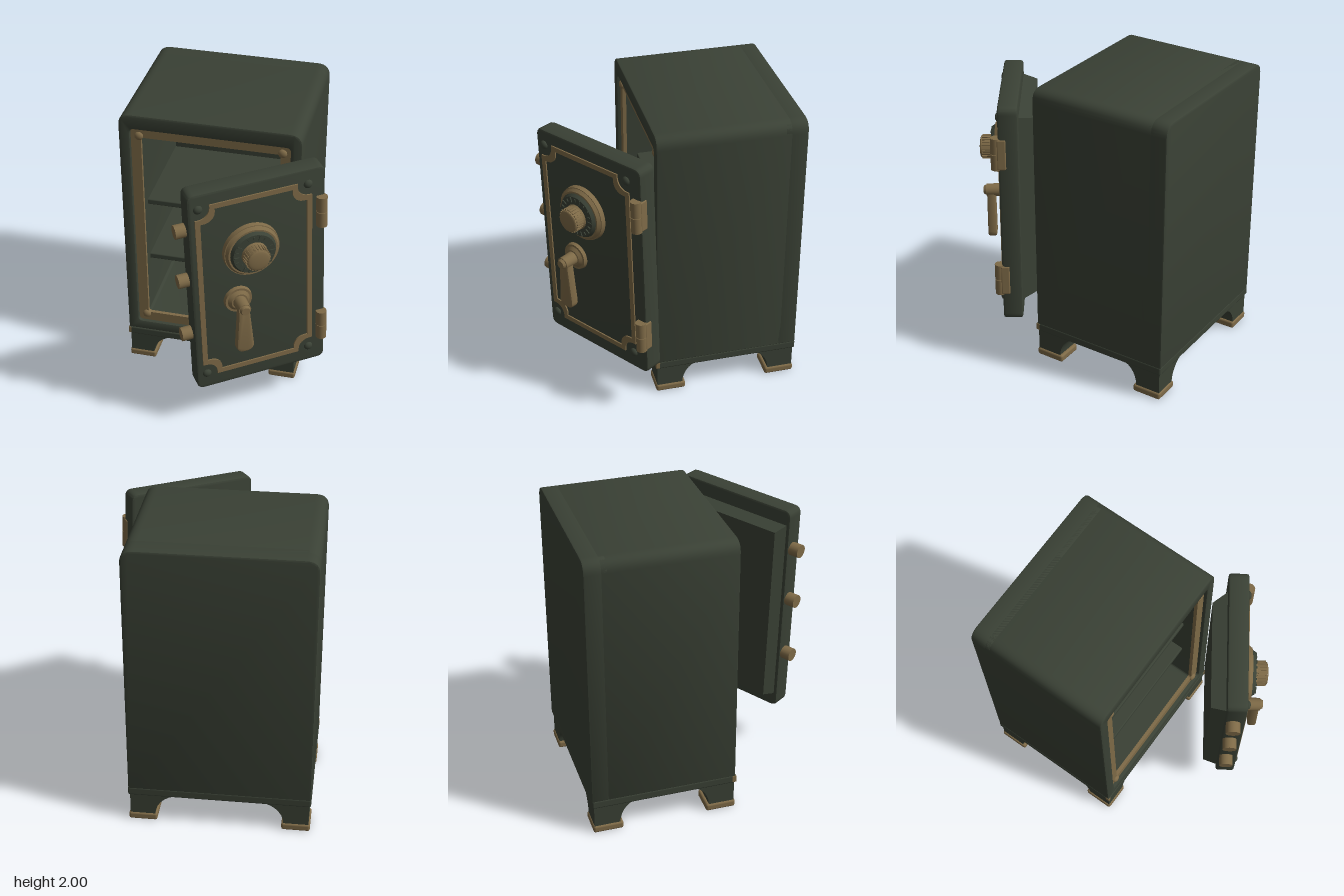
import * as THREE from 'three';
import { toCreasedNormals } from 'three/addons/utils/BufferGeometryUtils.js';
import { RoundedBoxGeometry } from 'three/addons/geometries/RoundedBoxGeometry.js';

const paint = new THREE.MeshStandardMaterial({ color: 0x3a4135 });
paint.name = 'dark green paint';
const brass = new THREE.MeshStandardMaterial({ color: 0x7e6a47 });
brass.name = 'aged brass';

function add(parent, name, geo, mat, x = 0, y = 0, z = 0) {
  const m = new THREE.Mesh(geo, mat);
  m.name = name;
  m.position.set(x, y, z);
  parent.add(m);
  return m;
}

const box = (w, h, d, r = 0.015) => new RoundedBoxGeometry(w, h, d, 2, r);

// Rectangle with separate bottom and top corner radii
function rect(x0, x1, y0, y1, rb, rt, Type = THREE.Shape) {
  const s = new Type();
  s.moveTo(x0 + rb, y0).lineTo(x1 - rb, y0);
  s.quadraticCurveTo(x1, y0, x1, y0 + rb).lineTo(x1, y1 - rt);
  s.quadraticCurveTo(x1, y1, x1 - rt, y1).lineTo(x0 + rt, y1);
  s.quadraticCurveTo(x0, y1, x0, y1 - rt).lineTo(x0, y0 + rb);
  s.quadraticCurveTo(x0, y0, x0 + rb, y0);
  return s;
}

// Extrusion filling z0..z1, bevel included and kept inside the outline
function extrude(shape, z0, z1, bevel = 0) {
  const g = new THREE.ExtrudeGeometry(shape, {
    depth: z1 - z0 - 2 * bevel, bevelEnabled: bevel > 0, bevelThickness: bevel,
    bevelSize: bevel, bevelOffset: -bevel, bevelSegments: 2, curveSegments: 8,
  });
  g.translate(0, 0, z0 + bevel);
  return toCreasedNormals(g, 0.6);
}

// Solid through rectangular sections [y, x0, x1, z0, z1], listed upwards
function loft(sections) {
  const pos = [], idx = [];
  for (const [y, x0, x1, z0, z1] of sections) pos.push(x0, y, z0, x1, y, z0, x1, y, z1, x0, y, z1);
  for (let k = 0; k < sections.length - 1; k++) {
    for (let i = 0; i < 4; i++) {
      const a = k * 4 + i, b = k * 4 + (i + 1) % 4;
      idx.push(a, a + 4, b, b, a + 4, b + 4);
    }
  }
  const t = (sections.length - 1) * 4;
  idx.push(0, 1, 2, 0, 2, 3, t, t + 2, t + 1, t, t + 3, t + 2);
  const g = new THREE.BufferGeometry();
  g.setAttribute('position', new THREE.Float32BufferAttribute(pos, 3));
  g.setIndex(idx);
  return toCreasedNormals(g, 0.5);
}

// Disc facing +z from z0 to z1
function disc(r0, r1, z0, z1, sides = 40) {
  return new THREE.CylinderGeometry(r1, r0, z1 - z0, sides).rotateX(Math.PI / 2).translate(0, 0, (z0 + z1) / 2);
}

const dome = (r, h) => new THREE.SphereGeometry(r, 16, 6, 0, Math.PI * 2, 0, Math.PI / 2)
  .rotateX(Math.PI / 2).scale(1, 1, h / r);

// Rectangle whose corners are cut by concave, stepped scallops
function scalloped(hw, hh, r, step, Type) {
  const s = new Type();
  const corners = [[1, 1], [-1, 1], [-1, -1], [1, -1]];
  corners.forEach(([sx, sy], k) => {
    const pts = [[0, r + step]];
    for (let i = 0; i <= 6; i++) {
      const a = (i / 6) * Math.PI / 2;
      pts.push([step + Math.sin(a) * r, step + Math.cos(a) * r]);
    }
    pts.push([r + step, 0]);
    if (k % 2) pts.reverse();
    pts.forEach(([dx, dy], i) => {
      const x = sx * (hw - dx), y = sy * (hh - dy);
      if (k === 0 && i === 0) s.moveTo(x, y); else s.lineTo(x, y);
    });
  });
  s.closePath();
  return s;
}

function buildCabinet(root) {
  const g = new THREE.Group();
  g.name = 'cabinet';
  root.add(g);
  const outline = () => rect(-0.71, 0.5, 0.25, 2, 0.01, 0.085);

  // Shell, back wall and inner lining
  const shell = outline();
  shell.holes.push(rect(-0.635, 0.425, 0.325, 1.895, 0.03, 0.03, THREE.Path));
  add(g, 'shell', extrude(shell, -0.72, 0.17, 0.012), paint);
  add(g, 'backWall', extrude(outline(), -0.82, -0.66, 0.012), paint);
  const ring = () => {
    const s = rect(-0.64, 0.43, 0.32, 1.9, 0.03, 0.03);
    s.holes.push(rect(-0.567, 0.357, 0.395, 1.828, 0.02, 0.02, THREE.Path));
    return s;
  };
  add(g, 'lining', extrude(ring(), -0.68, 0.12), paint);
  add(g, 'openingFrame', extrude(ring(), 0.12, 0.145), brass);
  for (const x of [-0.58, 0.37]) for (const y of [0.38, 1.84]) {
    add(g, 'frameRivet', dome(0.03, 0.02), brass, x, y, 0.145);
  }
  for (const y of [0.82, 1.27]) add(g, 'shelf', box(0.94, 0.04, 0.72, 0.008), paint, -0.105, y, -0.31);

  // Plinth with worn corners
  add(g, 'plinth', box(1.215, 0.06, 0.995, 0.012), paint, -0.105, 0.23, -0.322);
  for (const sx of [-1, 1]) {
    add(g, 'plinthWear', box(0.022, 0.05, 0.03, 0.004), brass, -0.105 + sx * 0.597, 0.23, 0.161);
  }

  // Four bracket feet with brass pads
  for (const sx of [-1, 1]) for (const sz of [-1, 1]) {
    const X = -0.105 + sx * 0.595, Z = -0.322 + sz * 0.485;
    const sections = [];
    for (let i = 0; i <= 7; i++) {
      const a = (i / 7) * Math.PI / 2, f = 1 - Math.cos(a);
      const x = X - sx * (0.165 + 0.165 * f), z = Z - sz * (0.175 + 0.12 * f);
      sections.push([0.04 + 0.165 * Math.sin(a), Math.min(X, x), Math.max(X, x), Math.min(Z, z), Math.max(Z, z)]);
    }
    add(g, 'foot', loft(sections), paint);
    add(g, 'footPad', box(0.19, 0.052, 0.205), brass, -0.105 + sx * 0.51, 0.026, -0.322 + sz * 0.391);
  }
}

function buildDial(door) {
  const g = new THREE.Group();
  g.name = 'combinationDial';
  g.position.set(-0.055, 0.287, 0);
  door.add(g);
  add(g, 'dialFlange', disc(0.19, 0.185, 0.06, 0.095), brass);
  add(g, 'dialRim', disc(0.18, 0.165, 0.095, 0.115), brass);
  add(g, 'dialFace', disc(0.157, 0.14, 0.11, 0.137), paint);
  for (let i = 0; i < 20; i++) {
    const a = (i / 20) * Math.PI * 2, long = i % 2 ? 0.02 : 0.035;
    const t = add(g, 'dialTick', new THREE.BoxGeometry(long, 0.008, 0.008), paint,
      Math.cos(a) * 0.12, Math.sin(a) * 0.12, 0.14);
    t.rotation.z = a;
  }
  // Knurled knob
  add(g, 'knobCollar', disc(0.09, 0.08, 0.13, 0.15), brass);
  add(g, 'knob', disc(0.08, 0.074, 0.15, 0.212), brass);
  add(g, 'knobCap', dome(0.074, 0.012), brass, 0, 0, 0.212);
  for (let i = 0; i < 24; i++) {
    const a = (i / 24) * Math.PI * 2;
    const rib = add(g, 'knobRib', new THREE.BoxGeometry(0.012, 0.01, 0.055), brass,
      Math.cos(a) * 0.077, Math.sin(a) * 0.077, 0.178);
    rib.rotation.z = a;
  }
}

function buildHandle(door) {
  const g = new THREE.Group();
  g.name = 'handle';
  g.position.set(-0.153, -0.085, 0);
  door.add(g);
  add(g, 'handleRose', disc(0.097, 0.09, 0.06, 0.088), brass);
  add(g, 'handleRoseStep', disc(0.075, 0.055, 0.088, 0.105), brass);
  add(g, 'handleSpindle', disc(0.045, 0.042, 0.1, 0.2, 24), brass);
  add(g, 'handleCap', disc(0.036, 0.028, 0.2, 0.218, 24), brass);
  const s = new THREE.Shape();
  s.moveTo(-0.035, 0.01).lineTo(-0.06, -0.3).quadraticCurveTo(-0.06, -0.35, 0, -0.35);
  s.quadraticCurveTo(0.06, -0.35, 0.06, -0.3).lineTo(0.035, 0.01);
  s.quadraticCurveTo(0, 0.05, -0.035, 0.01);
  add(g, 'handleLever', extrude(s, 0.135, 0.195, 0.014), brass);
}

function buildDoor(root) {
  // Swung open and sagging slightly on its hinges
  const door = new THREE.Group();
  door.name = 'door';
  door.position.set(0.283, 1.115, 0.5);
  door.rotation.set(0, 0.59, 0.035);
  root.add(door);

  add(door, 'doorSlab', extrude(rect(-0.455, 0.455, -0.77, 0.77, 0.05, 0.05), -0.065, 0.065, 0.015), paint);
  const plug = loft([[0.05, -0.435, 0.366, -0.67, 0.67], [0.16, -0.405, 0.29, -0.64, 0.64]]);
  add(door, 'doorPlug', plug.rotateX(-Math.PI / 2), paint);

  // Scalloped trim and corner rivets
  const trim = scalloped(0.387, 0.675, 0.075, 0.022, THREE.Shape);
  trim.holes.push(scalloped(0.353, 0.641, 0.075, 0.022, THREE.Path));
  add(door, 'doorTrim', extrude(trim, 0.06, 0.074), brass, -0.025, 0.01, 0);
  for (const sx of [-1, 1]) for (const sy of [-1, 1]) {
    add(door, 'doorRivet', dome(0.03, 0.022), paint, -0.025 + sx * 0.362, 0.01 + sy * 0.655, 0.064);
  }

  // Locking bolts
  for (const y of [-0.33, 0.1, 0.485]) {
    add(door, 'lockBolt', new THREE.CylinderGeometry(0.046, 0.046, 0.1, 20).rotateZ(Math.PI / 2), brass, -0.475, y, -0.012);
  }
  // Hinges
  for (const y of [-0.465, 0.45]) {
    add(door, 'hingePlate', box(0.05, 0.21, 0.06, 0.01), brass, 0.437, y, 0.045);
    for (const dy of [-0.056, 0.056]) {
      add(door, 'hingeBarrel', new THREE.CylinderGeometry(0.036, 0.036, 0.108, 20), brass, 0.425, y + dy, 0.08);
    }
  }
  buildDial(door);
  buildHandle(door);
}

export function createModel() {
  const root = new THREE.Group();
  root.name = 'safe';
  buildCabinet(root);
  buildDoor(root);
  return root;
}
